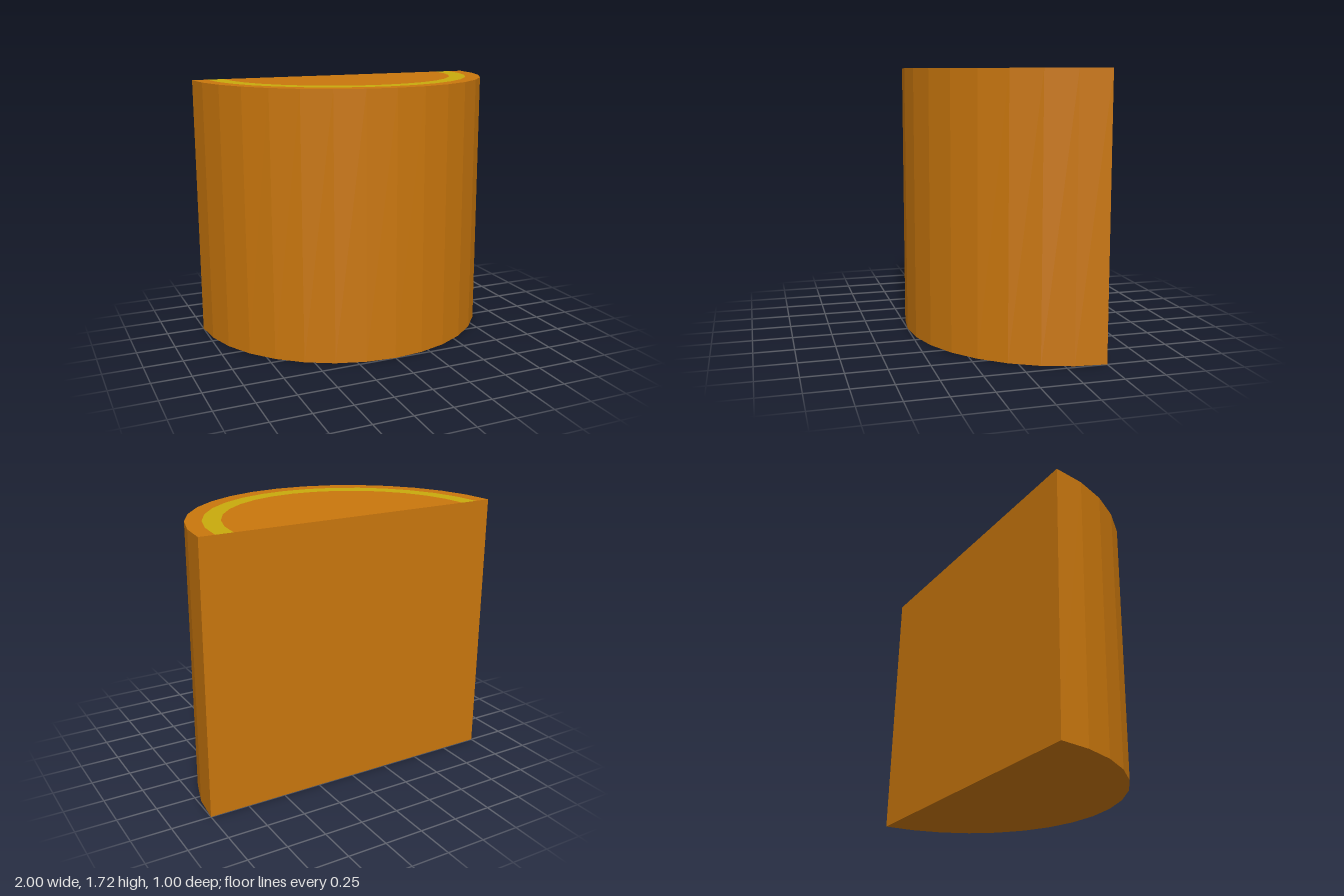
import * as THREE from 'three';

const HEIGHT = 1.715, SEGMENTS = 16, BACK = -0.5;

export function createModel() {
  const group = new THREE.Group();
  const orange = new THREE.MeshStandardMaterial({ color: 0xca770d });
  orange.name = 'orange';
  orange.flatShading = true;
  const yellow = new THREE.MeshStandardMaterial({ color: 0xc8aa0d });
  yellow.name = 'yellow';

  const add = (name, geometry, material, y, z = BACK) => {
    const mesh = new THREE.Mesh(geometry, material);
    mesh.name = name;
    mesh.position.set(0, y, z);
    group.add(mesh);
  };

  // Faceted half-round wall and flat back
  add('curvedWall',
    new THREE.CylinderGeometry(1, 1, HEIGHT, SEGMENTS, 1, true, -Math.PI / 2, Math.PI),
    orange, HEIGHT / 2);
  add('backWall', new THREE.PlaneGeometry(2, HEIGHT).rotateY(Math.PI), orange, HEIGHT / 2);

  // Bottom face
  add('base', new THREE.CircleGeometry(1, SEGMENTS, 0, Math.PI).rotateX(Math.PI / 2), orange, 0);

  // Top face: centre, inlaid band and outer rim, all flush
  const halfRing = (inner, outer) =>
    new THREE.RingGeometry(inner, outer, SEGMENTS, 1, Math.PI, Math.PI).rotateX(-Math.PI / 2);
  add('topCentre',
    new THREE.CircleGeometry(0.79, SEGMENTS, Math.PI, Math.PI).rotateX(-Math.PI / 2),
    orange, HEIGHT);
  add('topBand', halfRing(0.79, 0.9), yellow, HEIGHT);
  add('topRim', halfRing(0.9, 1), orange, HEIGHT);

  return group;
}
